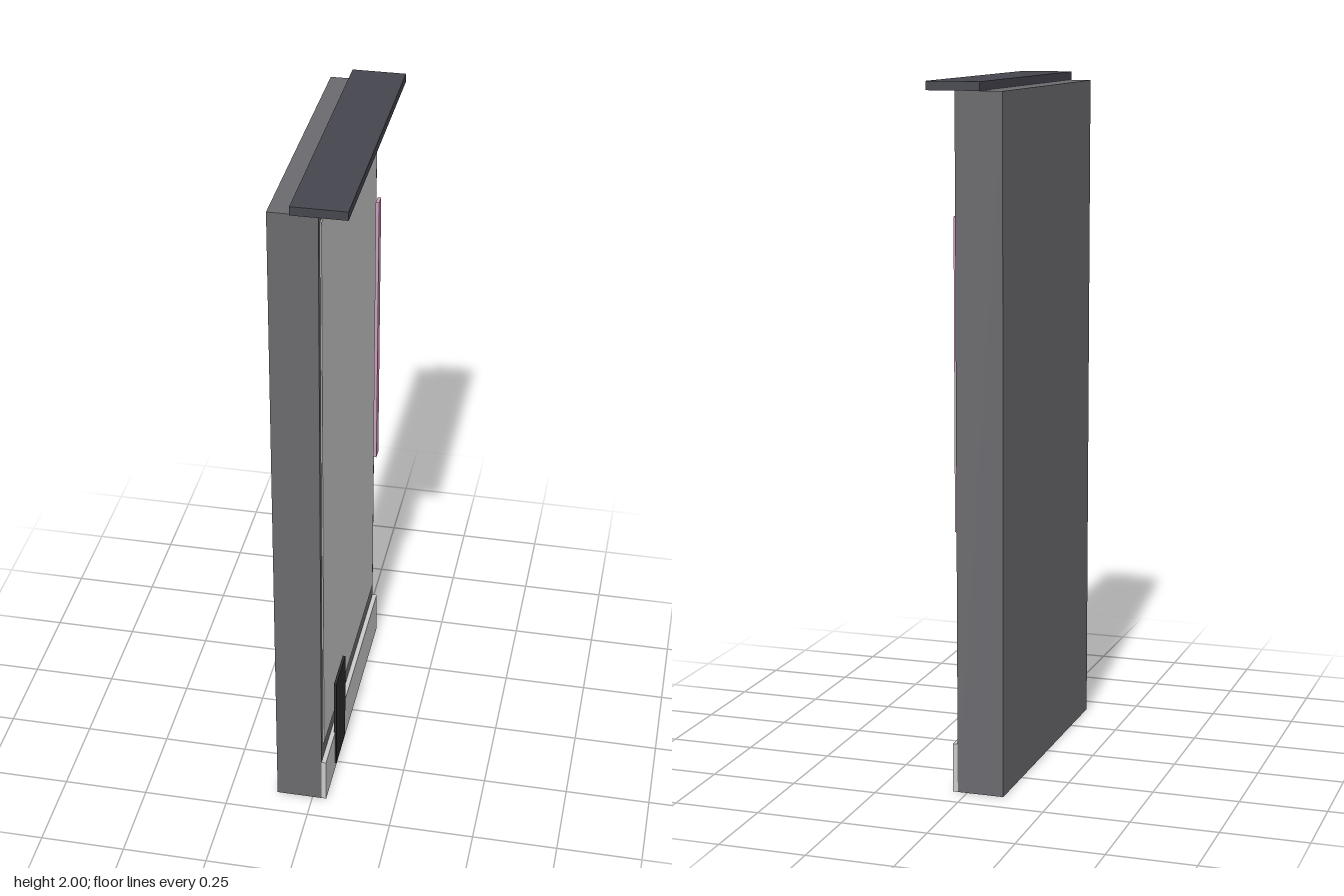
import * as THREE from 'three';

const material = (name, color) => {
  const m = new THREE.MeshStandardMaterial({ color });
  m.name = name;
  return m;
};

export function createModel() {
  const group = new THREE.Group();
  group.name = 'doorPanel';

  const frameGrey = material('frameGrey', 0x6a696d);
  const paleGrey = material('paleGrey', 0xcacaca);
  const slate = material('slate', 0x45454e);
  const black = material('black', 0x2c2c2c);
  const pink = material('pink', 0xcb9dba);

  // Box given by its lower and upper limits on each axis
  const addBox = (name, mat, [x0, x1], [y0, y1], [z0, z1]) => {
    const mesh = new THREE.Mesh(new THREE.BoxGeometry(x1 - x0, y1 - y0, z1 - z0), mat);
    mesh.position.set((x0 + x1) / 2, (y0 + y1) / 2, (z0 + z1) / 2);
    mesh.name = name;
    group.add(mesh);
  };

  // Slab body with its overhanging cap
  addBox('body', frameGrey, [-0.108, 0.028], [0, 1.975], [-0.421, 0.421]);
  addBox('topCap', slate, [-0.046, 0.108], [1.975, 2], [-0.428, 0.428]);

  // Pale face panel and kick board on the +x side
  addBox('facePanel', paleGrey, [0.026, 0.032], [0.2, 1.948], [-0.397, 0.4]);
  addBox('kickBoard', paleGrey, [0.028, 0.042], [0, 0.142], [-0.421, 0.421]);

  // Dark plate in front of the kick board, and the long handle strip
  addBox('darkPlate', black, [0.038, 0.046], [0.02, 0.33], [0.141, 0.281]);
  addBox('handle', pink, [0.041, 0.051], [0.745, 1.632], [-0.369, -0.335]);

  return group;
}
